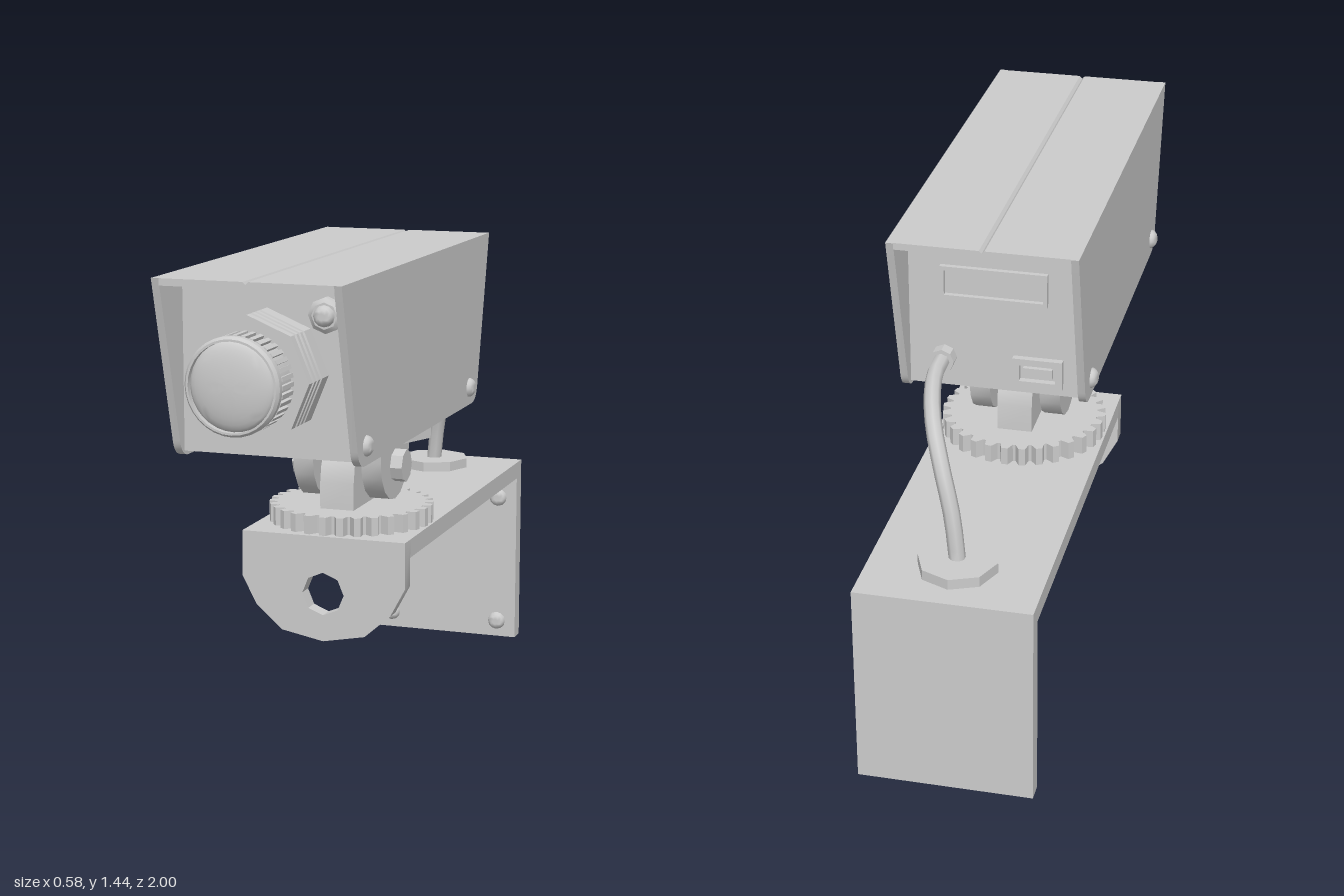
import * as THREE from 'three';
import { toCreasedNormals } from 'three/addons/utils/BufferGeometryUtils.js';

const grey = new THREE.MeshStandardMaterial({ color: 0xcccccc, side: THREE.DoubleSide });

export function createModel() {
  const root = new THREE.Group();
  const add = (name, geo, x = 0, y = 0, z = 0, crease = 0.5) => {
    const mesh = new THREE.Mesh(toCreasedNormals(geo, crease), grey);
    mesh.name = name;
    mesh.position.set(x, y, z);
    root.add(mesh);
    return mesh;
  };
  // box given by its limits
  const box = (name, x0, x1, y0, y1, z0, z1) =>
    add(name, new THREE.BoxGeometry(x1 - x0, y1 - y0, z1 - z0), (x0 + x1) / 2, (y0 + y1) / 2, (z0 + z1) / 2);
  const poly = (pts) => new THREE.Shape(pts.map(([a, b]) => new THREE.Vector2(a, b)));
  const slab = (shape, depth) => new THREE.ExtrudeGeometry(shape, { depth, bevelEnabled: false, curveSegments: 8 });
  // shape drawn in (z, y), extruded along x and centred
  const sideSlab = (shape, depth) => slab(shape, depth).translate(0, 0, -depth / 2).rotateY(-Math.PI / 2);
  const ring = (cx, cy, r, n) => Array.from({ length: n }, (_, i) => {
    const a = (i / n) * Math.PI * 2;
    return [cx + r * Math.cos(a), cy + r * Math.sin(a)];
  });
  const dome = (r, h) => new THREE.SphereGeometry(r, 12, 5, 0, Math.PI * 2, 0, Math.PI / 2).scale(1, h / r, 1);
  // profile of [radius, z] revolved round the z axis
  const turned = (pts, n) => new THREE.LatheGeometry(pts.map(([r, z]) => new THREE.Vector2(r, z)), n).rotateX(Math.PI / 2);

  // Wall bracket: arm, back plate and rounded front flange with a hole
  box('bracketArm', -0.255, 0.255, 0.56, 0.615, -0.945, 0.235);
  box('wallPlate', -0.255, 0.255, 0, 0.615, -1, -0.945);
  const half = [[0.255, 0.475], [0.21, 0.39], [0.13, 0.32]];
  const flange = poly([[-0.255, 0.615], ...half.map(([x, y]) => [-x, y]), [0, 0.295], ...half.reverse(), [0.255, 0.615]]);
  flange.holes.push(poly(ring(0, 0.44, 0.065, 8)));
  add('frontFlange', slab(flange, 0.05), 0, 0, 0.235);
  for (const x of [-0.19, 0.19]) for (const y of [0.055, 0.49])
    add('wallScrew', dome(0.03, 0.022).rotateX(Math.PI / 2), x, y, -0.945, 1);

  // Toothed turntable
  const teeth = 30, gear = [];
  for (let i = 0; i < teeth; i++)
    [[0, 0.225], [0.22, 0.25], [0.6, 0.25], [0.82, 0.225]].forEach(([t, r]) => {
      const a = ((i + t) / teeth) * Math.PI * 2;
      gear.push([r * Math.cos(a), r * Math.sin(a)]);
    });
  add('turntable', slab(poly(gear), 0.055).rotateX(-Math.PI / 2), 0, 0.615, 0.025, 0.1);

  // Tilt joint: one upright tongue between two hanging lugs, with a cross bolt
  const lug = (flip) => {
    const pts = [[-0.135, 0.1], [-0.135, 0]];
    for (let i = 1; i < 8; i++) {
      const a = Math.PI + (i / 8) * Math.PI;
      pts.push([0.135 * Math.cos(a), 0.135 * Math.sin(a)]);
    }
    pts.push([0.135, 0], [0.135, 0.1]);
    return poly(pts.map(([z, y]) => [z, flip ? -y : y]));
  };
  add('tiltTongue', sideSlab(lug(true), 0.106), 0, 0.75, 0.025);
  for (const s of [-1, 1]) add('tiltLug', sideSlab(lug(false), 0.062), s * 0.107, 0.82, 0.025);
  add('tiltBolt', new THREE.CylinderGeometry(0.05, 0.05, 0.35, 8).rotateZ(Math.PI / 2), 0, 0.79, 0.025);
  add('mountDisc', new THREE.CylinderGeometry(0.25, 0.25, 0.06, 8), 0, 0.91, 0.025);

  // Camera body
  box('body', -0.25, 0.25, 0.94, 1.41, -0.36, 0.72);

  // Cover: raked side plates with rounded lower corners, and a top with a centre seam
  const cheek = new THREE.Shape();
  cheek.moveTo(-0.51, 1.44);
  cheek.lineTo(-0.395, 0.975);
  cheek.quadraticCurveTo(-0.382, 0.925, -0.335, 0.925);
  cheek.lineTo(0.69, 0.925);
  cheek.quadraticCurveTo(0.74, 0.925, 0.752, 0.975);
  cheek.lineTo(0.88, 1.44);
  for (const s of [-1, 1]) {
    add('coverSide', sideSlab(cheek, 0.022), s * 0.26, 0, 0);
    for (const z of [-0.305, 0.68])
      add('coverScrew', dome(0.03, 0.022).rotateZ(-s * Math.PI / 2), s * 0.27, 0.98, z, 1);
  }
  const roof = poly([[-0.25, 1.42], [0.25, 1.42], [0.25, 1.44], [0.008, 1.44], [0, 1.432], [-0.008, 1.44], [-0.25, 1.44]]);
  add('coverTop', slab(roof, 1.385), 0, 0, -0.507);

  // Lens: octagonal grooved mount, ribbed barrel and domed glass
  const mount = [[0, 0.7], [0.177, 0.7]];
  for (let z = 0.77; z < 0.86; z += 0.03)
    mount.push([0.177, z], [0.165, z + 0.004], [0.165, z + 0.011], [0.177, z + 0.015]);
  mount.push([0.177, 0.872], [0, 0.872]);
  add('lensMount', turned(mount, 8), 0, 1.175, 0);
  add('lensBarrel', turned([[0, 0.86], [0.126, 0.86], [0.126, 0.96], [0.135, 0.96], [0.135, 0.978],
    [0.128, 0.988], [0.122, 0.988], [0.122, 0.97], [0, 0.97]], 32), 0, 1.175, 0);
  for (let i = 0; i < 36; i++) {
    const a = (i / 36) * Math.PI * 2;
    const rib = add('barrelRib', new THREE.BoxGeometry(0.014, 0.012, 0.08), 0.128 * Math.cos(a), 1.175 + 0.128 * Math.sin(a), 0.915);
    rib.rotation.z = a;
  }
  add('lensGlass', new THREE.SphereGeometry(0.122, 32, 8, 0, Math.PI * 2, 0, Math.PI / 2)
    .scale(1, 0.25, 1).rotateX(Math.PI / 2), 0, 1.175, 0.97, 1);

  // Small front sensor
  add('sensorNut', turned([[0, 0], [0.05, 0], [0.05, 0.025], [0.037, 0.035], [0, 0.035]], 8), 0.175, 1.34, 0.715);
  add('sensorEye', dome(0.03, 0.025).rotateX(Math.PI / 2), 0.175, 1.34, 0.75, 1);

  // Framed panels on the back
  const frame = (name, x0, x1, y0, y1, w, d) => {
    const s = poly([[x0, y0], [x1, y0], [x1, y1], [x0, y1]]);
    s.holes.push(poly([[x0 + w, y0 + w], [x0 + w, y1 - w], [x1 - w, y1 - w], [x1 - w, y0 + w]]));
    add(name, slab(s, d), 0, 0, -0.36 - d);
  };
  frame('rearPanelFrame', -0.155, 0.155, 1.22, 1.32, 0.012, 0.015);
  frame('socketFrame', -0.2, -0.055, 0.965, 1.055, 0.02, 0.02);
  box('socketPlug', -0.17, -0.085, 0.995, 1.025, -0.375, -0.355);

  // Cable with its gland and base disc
  const path = new THREE.CatmullRomCurve3([[0.147, 1.032, -0.35], [0.147, 1.03, -0.47], [0.125, 1.01, -0.59],
    [0.095, 0.97, -0.685], [0.055, 0.89, -0.76], [0.02, 0.77, -0.795], [0, 0.62, -0.812]]
    .map((p) => new THREE.Vector3(...p)));
  add('cable', new THREE.TubeGeometry(path, 14, 0.024, 8), 0, 0, 0, 1);
  add('cableGland', new THREE.CylinderGeometry(0.036, 0.036, 0.04, 8).rotateX(Math.PI / 2), 0.147, 1.032, -0.378);
  add('cableBase', new THREE.CylinderGeometry(0.115, 0.115, 0.032, 8), 0, 0.63, -0.815);
  return root;
}
